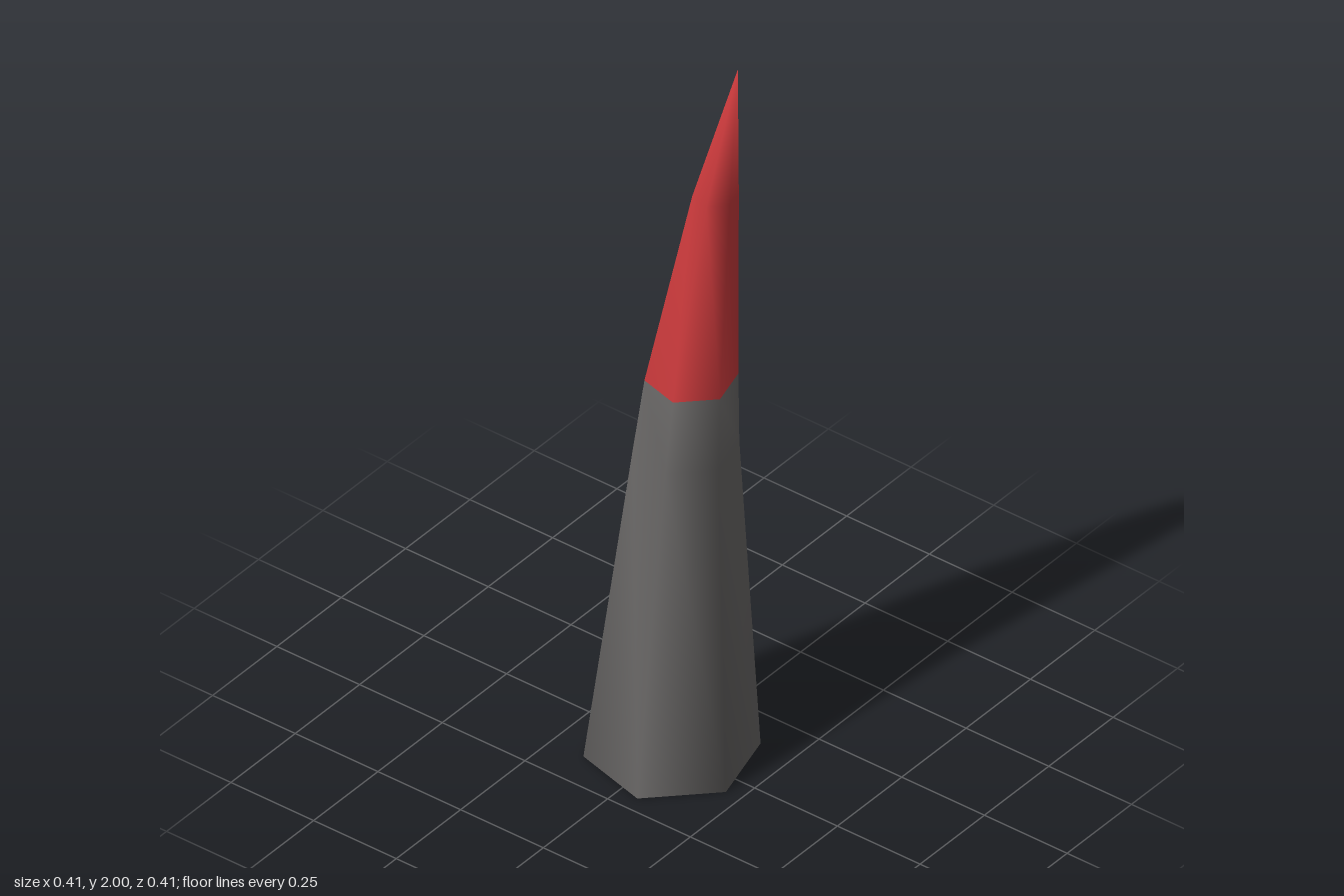
import * as THREE from 'three';

const SIDES = 6;
// Hexagonal rings from base to near the tip: [height, centre offset toward +x and -z, radius]
const RINGS = [
  [0, 0, 0.213],
  [0.9, 0.024, 0.128],
  [1.1, 0.033, 0.113],
  [1.635, 0.074, 0.056],
];
const TIP = [0.112, 2, -0.112];

export function createModel() {
  const positions = [];
  for (const [y, offset, r] of RINGS) {
    for (let i = 0; i < SIDES; i++) {
      const a = Math.PI / 12 + (i / SIDES) * Math.PI * 2;
      positions.push(offset + r * Math.cos(a), y, -offset + r * Math.sin(a));
    }
  }
  const tip = RINGS.length * SIDES;
  positions.push(...TIP);

  // Side wall between ring k and the ring above it
  const band = (k) => {
    const out = [];
    for (let i = 0; i < SIDES; i++) {
      const a = k * SIDES + i;
      const b = k * SIDES + ((i + 1) % SIDES);
      out.push(a, a + SIDES, b + SIDES, a, b + SIDES, b);
    }
    return out;
  };

  const bottom = [];
  for (let i = 1; i < SIDES - 1; i++) bottom.push(0, i, i + 1);
  const point = [];
  for (let i = 0; i < SIDES; i++) {
    const last = (RINGS.length - 1) * SIDES;
    point.push(last + i, tip, last + ((i + 1) % SIDES));
  }
  const shaftFaces = [...bottom, ...band(0), ...band(1)];
  const tipFaces = [...band(2), ...point];

  // Normals are smoothed over the whole spike, so the colour seam stays smooth
  const whole = new THREE.BufferGeometry();
  whole.setAttribute('position', new THREE.Float32BufferAttribute(positions, 3));
  whole.setIndex([...shaftFaces, ...tipFaces]);
  whole.computeVertexNormals();

  const group = new THREE.Group();
  group.name = 'spike';
  const addPart = (name, faces, color) => {
    const geometry = whole.clone().setIndex(faces);
    const mesh = new THREE.Mesh(geometry, new THREE.MeshStandardMaterial({ color }));
    mesh.name = name;
    group.add(mesh);
  };
  addPart('shaft', shaftFaces, 0x6b6968);
  addPart('redTip', tipFaces, 0xcc3a3c);
  return group;
}
